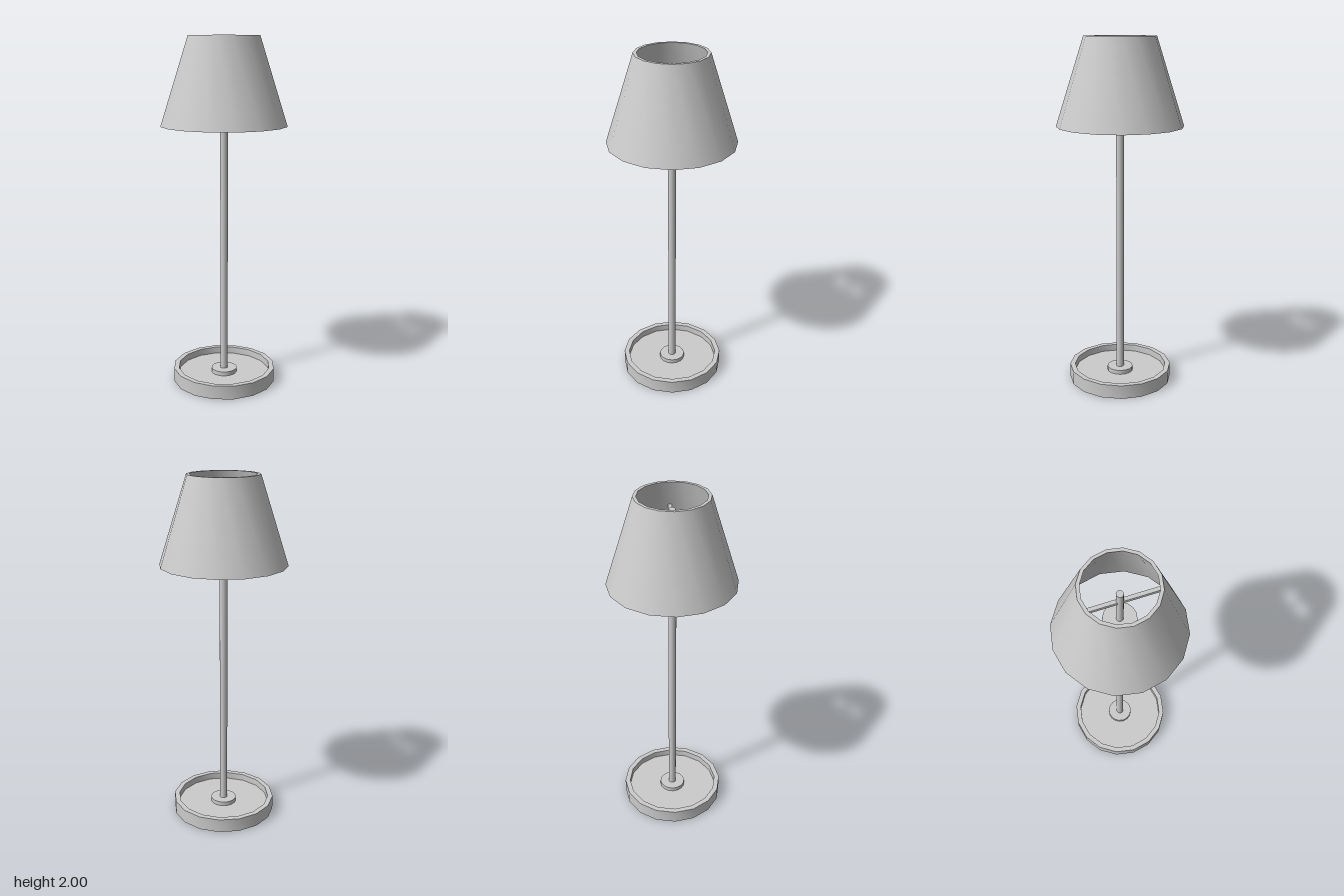
import * as THREE from 'three';
import { toCreasedNormals } from 'three/addons/utils/BufferGeometryUtils.js';

const SIDES = 16;

export function createModel() {
  const lamp = new THREE.Group();
  lamp.name = 'tableLamp';
  const material = new THREE.MeshStandardMaterial({ color: 0xcccccc });

  function add(name, geometry, y = 0) {
    const mesh = new THREE.Mesh(geometry, material);
    mesh.name = name;
    mesh.position.y = y;
    lamp.add(mesh);
  }

  // Turned part from [radius, height] points, with sharp rims
  function turned(name, points) {
    const profile = points.map(([r, y]) => new THREE.Vector2(r, y));
    add(name, toCreasedNormals(new THREE.LatheGeometry(profile, SIDES), Math.PI / 6));
  }

  // Upright cylinder between two heights
  function rod(name, radius, bottom, top) {
    add(name, new THREE.CylinderGeometry(radius, radius, top - bottom, SIDES), (bottom + top) / 2);
  }

  // Tray-like foot with a raised rim
  turned('base', [[0, 0], [0.3, 0], [0.3, 0.08], [0.27, 0.08], [0.27, 0.04], [0, 0.04]]);
  rod('baseCollar', 0.075, 0.04, 0.065);

  // Pole, the disc inside the shade and the thin stem above it
  rod('pole', 0.022, 0.04, 1.63);
  rod('socketDisc', 0.087, 1.615, 1.655);
  rod('stem', 0.0187, 1.655, 1.93);

  // Bar that carries the shade
  add('shadeBar', new THREE.BoxGeometry(0.46, 0.02, 0.021), 1.85);

  // Open tapered shade with wall thickness
  turned('shade', [[0.357, 1.51], [0.2, 2], [0.182, 2], [0.33, 1.51], [0.357, 1.51]]);

  return lamp;
}
